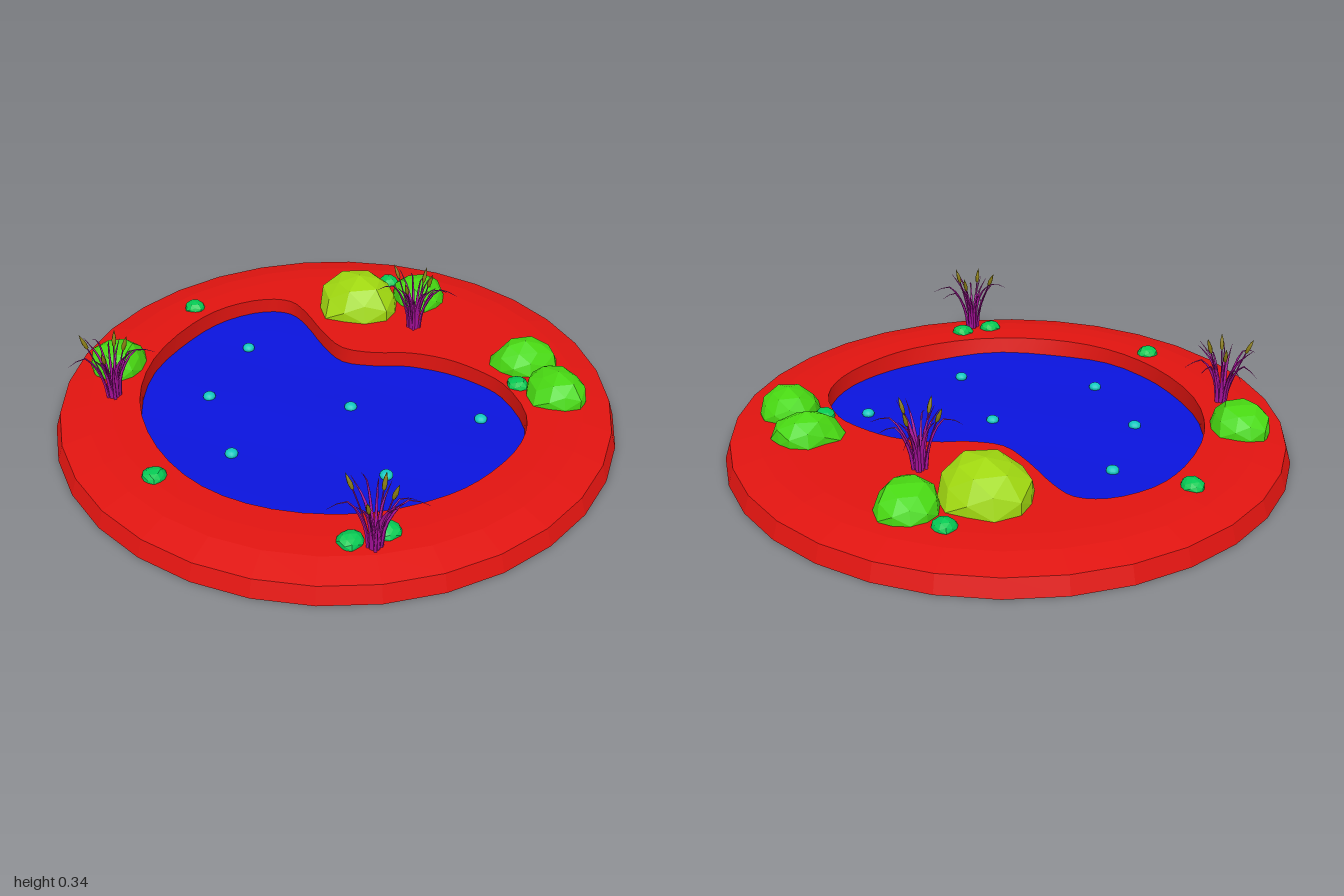
import * as THREE from 'three';

const TOP = 0.088, WATER = 0.025;
const mat = (color, flat = false, double = false) => new THREE.MeshStandardMaterial({
  color, flatShading: flat, side: double ? THREE.DoubleSide : THREE.FrontSide });
const red = mat(0xe01410, true), redWall = mat(0xe01410, false, true), blue = mat(0x0a14dc);
const lime = mat(0xa0d810, true), green = mat(0x48d812, true), teal = mat(0x05c853, true);
const cyan = mat(0x10c8c0), purple = mat(0xa8109c), olive = mat(0x8a7c12);

function add(parent, name, geometry, material) {
  const mesh = new THREE.Mesh(geometry, material);
  mesh.name = name;
  parent.add(mesh);
  return mesh;
}

// Closed bean-shaped shoreline, x and z pairs
const shore = new THREE.CatmullRomCurve3([
  [-0.2, -0.64], [-0.1, -0.61], [-0.05, -0.52], [0, -0.36], [0.06, -0.24], [0.17, -0.19],
  [0.3, -0.17], [0.43, -0.11], [0.53, -0.02], [0.6, 0.08], [0.63, 0.27], [0.57, 0.42],
  [0.43, 0.56], [0.27, 0.65], [0, 0.7], [-0.29, 0.64], [-0.5, 0.5], [-0.64, 0.28],
  [-0.7, 0], [-0.65, -0.26], [-0.5, -0.49], [-0.36, -0.6],
].map(([x, z]) => new THREE.Vector3(x, 0, z)), true).getPoints(66).slice(0, -1);

// Surface from equal rings of points; each ring closes on itself
function loft(rings) {
  const n = rings[0].length, pos = [], idx = [];
  rings.forEach(r => r.forEach(p => pos.push(p.x, p.y, p.z)));
  for (let j = 0; j < rings.length - 1; j++) {
    for (let i = 0; i < n; i++) {
      const a = j * n + i, b = j * n + (i + 1) % n;
      idx.push(a, a + n, b, b, a + n, b + n);
    }
  }
  const g = new THREE.BufferGeometry();
  g.setAttribute('position', new THREE.Float32BufferAttribute(pos, 3));
  g.setIndex(idx);
  g.computeVertexNormals();
  return g;
}

function buildGround(parent) {
  // Underside and bevelled rim
  const profile = [[0, 0], [1, 0], [0.98, 0.06], [0.88, 0.082], [0.8, TOP]];
  add(parent, 'groundRim', new THREE.LatheGeometry(
    profile.map(p => new THREE.Vector2(...p)), 32), red);
  // Top with the pond cut out
  const disc = [];
  for (let i = 0; i < 32; i++) {
    const a = i * Math.PI / 16;
    disc.push(new THREE.Vector2(0.8 * Math.sin(a), 0.8 * Math.cos(a)));
  }
  const shape = new THREE.Shape(disc);
  shape.holes.push(new THREE.Path(shore.map(p => new THREE.Vector2(p.x, -p.z))));
  add(parent, 'groundTop', new THREE.ShapeGeometry(shape).rotateX(-Math.PI / 2)
    .translate(0, TOP, 0), red);
  // Bank from the ground down to the water, sloping a little at the front
  const ring = y => shore.map(p => new THREE.Vector3(p.x, y, p.z > 0.3 && y < TOP ? p.z * 0.975 : p.z));
  add(parent, 'pondBank', loft([ring(TOP), ring(0.012)]), redWall);
}

// Gently rippled water, in rings shrinking to the middle
function buildWater(parent) {
  const rings = [];
  for (let j = 0; j <= 12; j++) {
    const s = 1 - j / 12;
    rings.push(shore.map(p => {
      const x = p.x * s, z = (p.z > 0.3 ? p.z * 0.975 : p.z) * s;
      const y = WATER + 0.003 * (Math.sin(13 * x + 4 * z) + Math.sin(11 * z - 6 * x));
      return new THREE.Vector3(x, y, z);
    }));
  }
  const g = loft(rings);
  if (g.attributes.normal.getY(70) < 0) {
    g.setIndex(Array.from(g.index.array).reverse());
    g.computeVertexNormals();
  }
  add(parent, 'water', g, blue);
}

// Faceted boulder, lower half sunk in the ground
function boulder(parent, name, x, z, rx, rz, top, material, seed, detail = 1) {
  const g = new THREE.IcosahedronGeometry(1, detail), p = g.attributes.position;
  const v = new THREE.Vector3();
  for (let i = 0; i < p.count; i++) {
    v.fromBufferAttribute(p, i);
    const h = Math.sin(Math.round(v.x * 50) * 1.7 + Math.round(v.y * 50) * 2.3
      + Math.round(v.z * 50) * 3.1 + seed);
    v.multiplyScalar(1 + 0.07 * h);
    p.setXYZ(i, v.x * rx, Math.max(v.y * (top - TOP), -0.04), v.z * rz);
  }
  g.computeVertexNormals();
  add(parent, name, g, material).position.set(x, TOP, z);
}

// Tapered tube along a curve
function blade(points, radius) {
  const curve = new THREE.CatmullRomCurve3(points.map(p => new THREE.Vector3(...p)));
  const n = 8, sides = 5, g = new THREE.TubeGeometry(curve, n, radius, sides);
  const p = g.attributes.position, v = new THREE.Vector3();
  for (let i = 0; i < p.count; i++) {
    const t = Math.floor(i / (sides + 1)) / n, c = curve.getPointAt(t);
    v.fromBufferAttribute(p, i).sub(c).multiplyScalar(Math.max(1 - t * t, 0.05)).add(c);
    p.setXYZ(i, v.x, v.y, v.z);
  }
  g.computeVertexNormals();
  return g;
}

function buildReeds(x, z, turn) {
  const reeds = new THREE.Group();
  reeds.name = 'reedClump';
  // Arching and upright leaves around the clump
  for (let i = 0; i < 12; i++) {
    const a = i * 2.4, low = i % 2 === 0, c = Math.cos(a), s = Math.sin(a);
    const reach = low ? 0.13 + 0.015 * (i % 3) : 0.07 + 0.01 * (i % 4);
    const h = low ? 0.16 + 0.006 * (i % 5) : 0.19 + 0.008 * (i % 4);
    const at = (r, y) => [c * r, y, s * r];
    add(reeds, 'reedLeaf', blade(low
      ? [at(0.02, -0.01), at(0.035, h * 0.5), at(reach * 0.6, h), at(reach, h * 0.88)]
      : [at(0.012, -0.01), at(0.02, h * 0.4), at(reach * 0.5, h * 0.75), at(reach, h)],
      low ? 0.006 : 0.008), purple);
  }
  // Stalks with seed heads
  for (let i = 0; i < 4; i++) {
    const a = 0.6 + i * 1.65, r = 0.055 + 0.012 * (i % 3), h = i % 2 ? 0.19 : 0.205;
    const tip = new THREE.Vector3(Math.cos(a) * r, h, Math.sin(a) * r);
    const foot = new THREE.Vector3(tip.x * 0.15, -0.01, tip.z * 0.15);
    const mid = foot.clone().lerp(tip, 0.5).multiply(new THREE.Vector3(0.7, 1, 0.7));
    add(reeds, 'reedStalk', new THREE.TubeGeometry(
      new THREE.QuadraticBezierCurve3(foot, mid, tip), 6, 0.0025, 5), purple);
    const head = add(reeds, 'seedHead', new THREE.LatheGeometry([[0, -0.025], [0.006, -0.018],
      [0.008, 0], [0.005, 0.02], [0, 0.038]].map(p => new THREE.Vector2(...p)), 6), olive);
    const dir = tip.clone().sub(mid).normalize();
    head.quaternion.setFromUnitVectors(new THREE.Vector3(0, 1, 0), dir);
    head.position.copy(tip).addScaledVector(dir, 0.008);
  }
  reeds.position.set(x, TOP, z);
  reeds.rotation.y = turn;
  return reeds;
}

export function createModel() {
  const model = new THREE.Group();
  model.name = 'gardenPond';
  buildGround(model);
  buildWater(model);

  // Boulders and pebbles
  boulder(model, 'largeBoulder', 0.17, -0.55, 0.165, 0.165, 0.22, lime, 1);
  [[0.42, -0.58, 0.105, 0.122], [0.71, -0.05, 0.12, 0.1], [0.77, 0.16, 0.112, 0.118],
    [-0.78, -0.25, 0.105, 0.12]].forEach(([x, z, rx, rz], i) =>
    boulder(model, 'boulder', x, z, rx, rz, 0.178, green, 3 + i * 2));
  [[0.32, -0.71], [-0.485, -0.615], [0.65, 0.09], [-0.65, 0.43], [-0.07, 0.815], [0.05, 0.79]]
    .forEach(([x, z], i) => boulder(model, 'pebble', x, z, 0.041, 0.041, 0.117, teal, i));

  // Reed clumps
  [[0.355, -0.35, 0], [-0.79, -0.04, 0.5], [0, 0.845, 0.2]]
    .forEach(r => model.add(buildReeds(...r)));

  // Small floating buds
  const bud = new THREE.SphereGeometry(0.023, 12, 8).scale(1, 0.7, 1);
  [[-0.29, -0.375], [-0.455, -0.07], [0.045, 0.065], [0.49, 0.2], [-0.395, 0.275], [0.105, 0.46]]
    .forEach(([x, z]) => add(model, 'floatingBud', bud, cyan).position.set(x, 0.032, z));
  return model;
}
